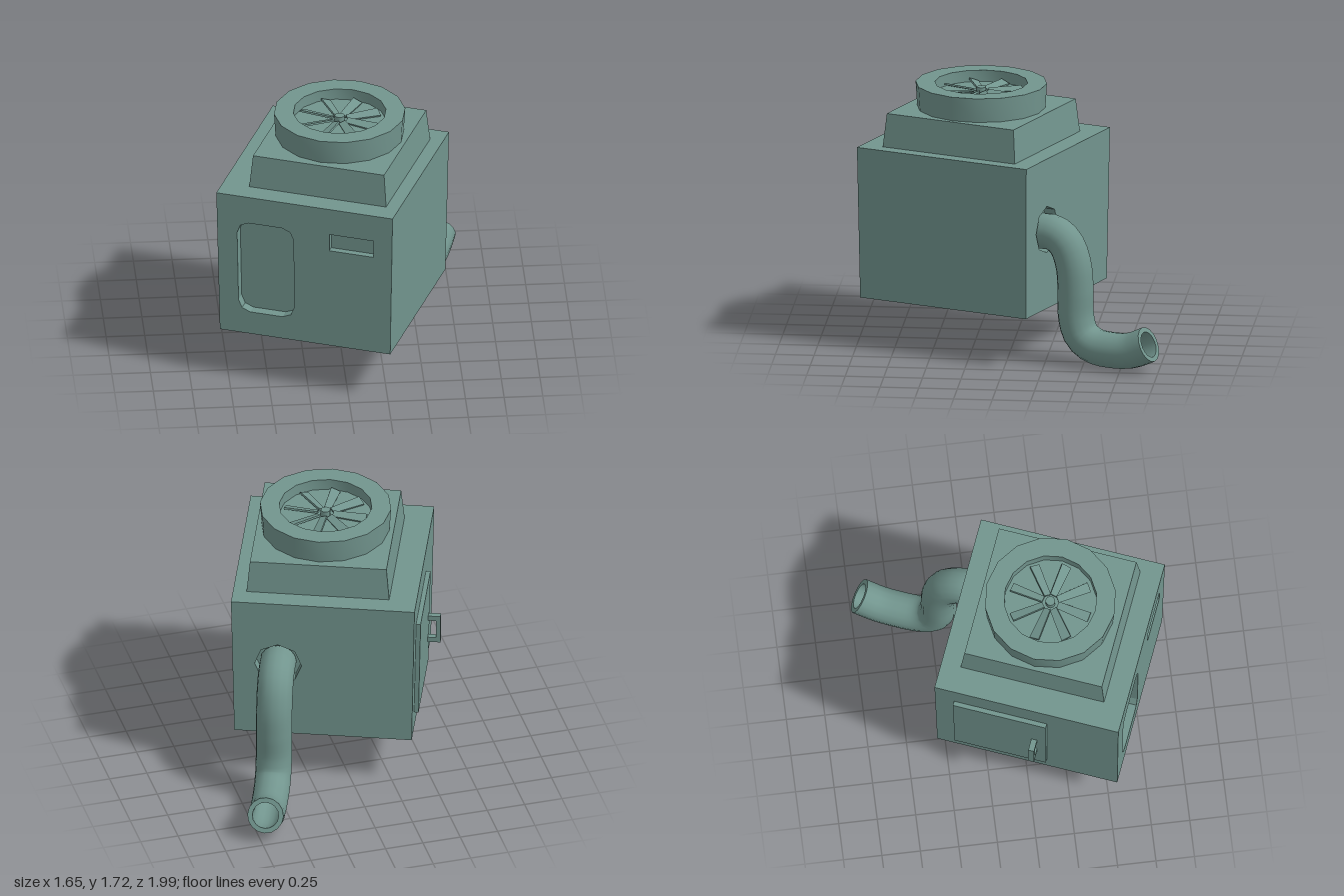
import * as THREE from 'three';
import { toCreasedNormals } from 'three/addons/utils/BufferGeometryUtils.js';

const material = new THREE.MeshStandardMaterial({ color: 0x72958e });
const innerMaterial = new THREE.MeshStandardMaterial({ color: 0x72958e, side: THREE.DoubleSide });

// Body dimensions (half width, half depth, bottom and top)
const HW = 0.595, HD = 0.6125, Y0 = 0.33, Y1 = 1.335;
const FRONT = 0.07, BACK = 0.08;

function add(parent, name, geometry, mat = material) {
  const mesh = new THREE.Mesh(geometry, mat);
  mesh.name = name;
  parent.add(mesh);
  return mesh;
}

// Box given by its limits
function boxBetween(x0, x1, y0, y1, z0, z1) {
  return new THREE.BoxGeometry(x1 - x0, y1 - y0, z1 - z0)
    .translate((x0 + x1) / 2, (y0 + y1) / 2, (z0 + z1) / 2);
}

// Scale x and z linearly from 1 at yFull to (sx, sz) at yEnd
function taper(geometry, yFull, yEnd, sx, sz) {
  const p = geometry.attributes.position;
  for (let i = 0; i < p.count; i++) {
    const t = (p.getY(i) - yFull) / (yEnd - yFull);
    p.setX(i, p.getX(i) * (1 + (sx - 1) * t));
    p.setZ(i, p.getZ(i) * (1 + (sz - 1) * t));
  }
  geometry.computeVertexNormals();
  return geometry;
}
const bodyTaper = (g) => taper(g, Y1, Y0, 1 - 0.02 / HW, 1 - 0.013 / HD);

function rectPath(x0, x1, y0, y1, r = 0, Type = THREE.Path) {
  if (!r) {
    return new Type([[x0, y0], [x1, y0], [x1, y1], [x0, y1]].map((p) => new THREE.Vector2(...p)));
  }
  const pts = [];
  const corners = [[x1 - r, y0 + r, -90], [x1 - r, y1 - r, 0], [x0 + r, y1 - r, 90], [x0 + r, y0 + r, 180]];
  for (const [cx, cy, start] of corners) {
    for (let k = 0; k <= 2; k++) {
      const a = THREE.MathUtils.degToRad(start + k * 45);
      pts.push(new THREE.Vector2(cx + r * Math.cos(a), cy + r * Math.sin(a)));
    }
  }
  return new Type(pts);
}

// Wall slab with openings cut through it
function wall(holes, depth, z) {
  const shape = rectPath(-HW, HW, Y0, Y1, 0, THREE.Shape);
  shape.holes.push(...holes);
  return new THREE.ExtrudeGeometry(shape, { depth, bevelEnabled: false }).translate(0, 0, z);
}

function makeBody() {
  const body = new THREE.Group();
  body.name = 'body';
  add(body, 'core', bodyTaper(boxBetween(-HW, HW, Y0, Y1, -HD + BACK, HD - FRONT)));

  // Front wall with rounded window and a shallower slot
  const windowHole = rectPath(-0.46, -0.075, 0.49, 1.145, 0.08);
  const slotHole = rectPath(0.168, 0.47, 1.03, 1.15);
  add(body, 'frontWall', bodyTaper(wall([windowHole, slotHole], FRONT, HD - FRONT)));
  add(body, 'slotBack', bodyTaper(boxBetween(0.168, 0.47, 1.03, 1.15, HD - FRONT, HD - 0.045)));

  // Back wall with octagonal pipe opening
  const ring = [];
  for (let i = 0; i < 8; i++) {
    const a = i * Math.PI / 4;
    ring.push(new THREE.Vector2(0.295 + 0.155 * Math.cos(a), 0.862 + 0.155 * Math.sin(a)));
  }
  add(body, 'backWall', bodyTaper(wall([new THREE.Path(ring)], BACK, -HD)));

  // Side door and its handle
  add(body, 'door', bodyTaper(boxBetween(-HW - 0.03, -HW + 0.02, 0.465, 1.155, -0.485, 0.135)));
  const handle = new THREE.Group();
  handle.name = 'handle';
  body.add(handle);
  add(handle, 'grip', boxBetween(-0.695, -0.665, 0.67, 0.87, 0.038, 0.076));
  for (const y of [0.67, 0.835]) {
    add(handle, 'handlePost', boxBetween(-0.67, -0.6, y, y + 0.035, 0.038, 0.076));
  }
  return body;
}

function makeRoof() {
  const roof = new THREE.Group();
  roof.name = 'roof';
  roof.position.set(0.045, 0, -0.007);
  const w = 0.4625, d = 0.478, top = 1.555;
  add(roof, 'roofBase', taper(boxBetween(-w, w, Y1, top, -d, d), Y1, top, 1 - 0.02 / w, 1 - 0.02 / d));

  // Fan housing with a recessed floor
  const floor = 1.64;
  const profile = [[0.415, top], [0.425, 1.715], [0.3, 1.715], [0.3, floor], [0, floor]]
    .map((p) => new THREE.Vector2(...p));
  add(roof, 'fanHousing', toCreasedNormals(new THREE.LatheGeometry(profile, 16), 0.6));

  // Fan hub and tilted blades
  add(roof, 'fanHub', new THREE.CylinderGeometry(0.032, 0.032, 0.045, 10).translate(0, floor + 0.022, 0));
  for (let i = 0; i < 8; i++) {
    const blade = new THREE.BoxGeometry(0.22, 0.012, 0.066);
    const p = blade.attributes.position;
    for (let k = 0; k < p.count; k++) {
      if (p.getX(k) < 0) p.setZ(k, p.getZ(k) * 0.7);
    }
    blade.rotateX(0.35).translate(0.16, floor + 0.018, 0);
    blade.rotateY(THREE.MathUtils.degToRad(37 + i * 45));
    add(roof, 'fanBlade', blade);
  }
  return roof;
}

function makePipe() {
  const pipe = new THREE.Group();
  pipe.name = 'exhaustPipe';
  const points = [
    [0.85, -0.54], [0.848, -0.66], [0.79, -0.745], [0.66, -0.8], [0.5, -0.816], [0.31, -0.82],
    [0.19, -0.86], [0.13, -0.95], [0.116, -1.1], [0.13, -1.22], [0.185, -1.345],
  ].map(([y, z]) => new THREE.Vector3(0.295, y, z));
  const curve = new THREE.CatmullRomCurve3(points);
  const outer = 0.117, inner = 0.085;
  add(pipe, 'pipeOuter', new THREE.TubeGeometry(curve, 28, outer, 16));
  add(pipe, 'pipeInner', new THREE.TubeGeometry(curve, 28, inner, 16), innerMaterial);
  // Rims closing the wall thickness at both ends
  for (const t of [0, 1]) {
    const rim = add(pipe, 'pipeRim', new THREE.RingGeometry(inner, outer, 16), innerMaterial);
    const dir = curve.getTangentAt(t).multiplyScalar(t ? 1 : -1);
    rim.position.copy(curve.getPointAt(t));
    rim.quaternion.setFromUnitVectors(new THREE.Vector3(0, 0, 1), dir);
  }
  return pipe;
}

export function createModel() {
  const model = new THREE.Group();
  model.name = 'ventilationUnit';
  const unit = new THREE.Group();
  unit.name = 'unit';
  unit.position.set(-0.05, 0, 0.205);
  unit.rotation.y = THREE.MathUtils.degToRad(-21.5);
  unit.add(makeBody(), makeRoof(), makePipe());
  model.add(unit);
  return model;
}
